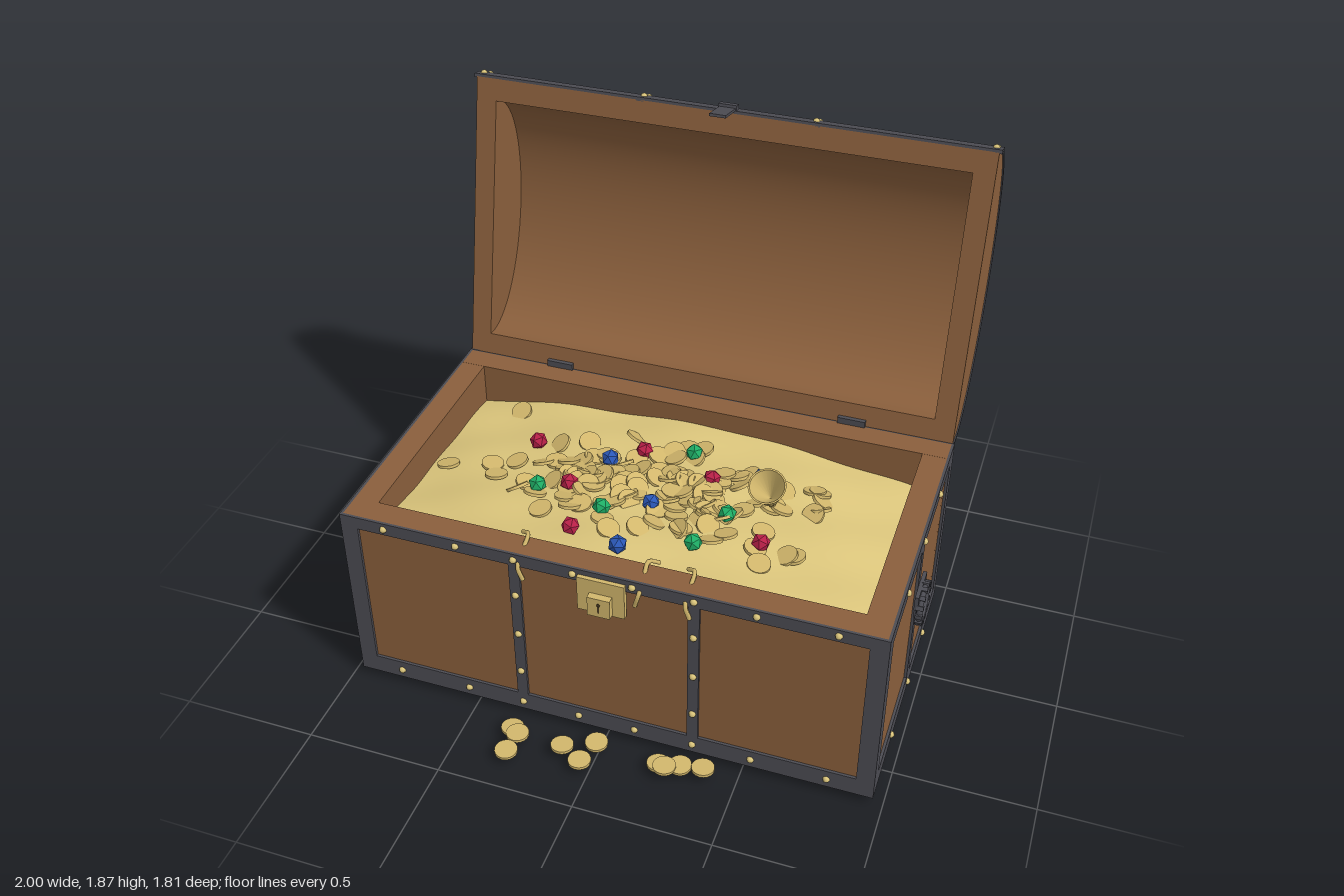
import * as THREE from 'three';
import { toCreasedNormals } from 'three/addons/utils/BufferGeometryUtils.js';

const material = (name, color, extra = {}) => {
  const m = new THREE.MeshStandardMaterial({ color, ...extra });
  m.name = name;
  return m;
};

export function createModel() {
  const wood = material('wood', 0x8a5f3c);
  const footWood = material('foot wood', 0x9a5a34);
  const iron = material('iron', 0x4c4c53);
  const gold = material('gold', 0xdcc67c);
  const coinGold = material('coin gold', 0xd2b76c, { side: THREE.DoubleSide });
  const ruby = material('ruby', 0xb82048);
  const emerald = material('emerald', 0x1fae66);
  const sapphire = material('sapphire', 0x2b58b8);
  const dark = material('keyhole dark', 0x4a3c22);

  const root = new THREE.Group();
  root.name = 'treasureChest';

  const group = (name, parent = root) => {
    const g = new THREE.Group();
    g.name = name;
    parent.add(g);
    return g;
  };
  const add = (parent, name, geo, mat, x = 0, y = 0, z = 0) => {
    const m = new THREE.Mesh(geo, mat);
    m.name = name;
    m.position.set(x, y, z);
    parent.add(m);
    return m;
  };
  // box given by its lower and upper limits
  const box = (parent, name, mat, x0, x1, y0, y1, z0, z1) =>
    add(parent, name, new THREE.BoxGeometry(x1 - x0, y1 - y0, z1 - z0), mat,
      (x0 + x1) / 2, (y0 + y1) / 2, (z0 + z1) / 2);

  let seed = 11;
  const random = () => {
    seed = (seed * 16807) % 2147483647;
    return seed / 2147483647;
  };

  // Body: floor and four walls
  const X = 0.955, Y0 = 0.03, Y1 = 0.765, ZB = -0.415, ZF = 0.65, ZC = 0.118, T = 0.09;
  const body = group('body');
  box(body, 'floor', wood, -X, X, Y0, Y0 + 0.06, ZB, ZF);
  box(body, 'frontWall', wood, -X, X, Y0 + 0.06, Y1, ZF - T, ZF);
  box(body, 'backWall', wood, -X, X, Y0 + 0.06, Y1, ZB, ZB + T);
  for (const s of [-1, 1])
    add(body, 'sideWall', new THREE.BoxGeometry(T, Y1 - Y0 - 0.06, ZF - ZB - 2 * T), wood,
      s * (X - T / 2), (Y0 + 0.06 + Y1) / 2, ZC);

  // Feet
  const footGeo = new THREE.BoxGeometry(0.12, 0.03, 0.12);
  for (const x of [-0.87, 0.87]) for (const z of [-0.33, 0.57])
    add(body, 'foot', footGeo, footWood, x, 0.015, z);

  // Iron straps with rivets on all four sides
  const E = 0.01, straps = group('straps'), rivets = group('rivets');
  const rivetGeo = new THREE.SphereGeometry(0.013, 8, 6);
  const rivet = (x, y, z, parent = rivets) => add(parent, 'rivet', rivetGeo, gold, x, y, z);
  for (const [z0, z1, zr] of [[ZF, ZF + E, ZF + E], [ZB - E, ZB, ZB - E]]) {
    box(straps, 'bottomStrap', iron, -X - E, X + E, Y0, 0.105, z0, z1);
    box(straps, 'topStrap', iron, -X - E, X + E, 0.715, Y1, z0, z1);
    for (const s of [-1, 1]) {
      box(straps, 'cornerStrap', iron, s * 0.933 - 0.032, s * 0.933 + 0.032, 0.105, 0.715, z0, z1);
      box(straps, 'middleStrap', iron, s * 0.318 - 0.02, s * 0.318 + 0.02, 0.105, 0.715, z0, z1);
      for (const x of [0.105, 0.318, 0.53, 0.8])
        for (const y of [0.067, 0.74]) rivet(s * x, y, zr);
      for (const y of [0.22, 0.4, 0.58]) rivet(s * 0.318, y, zr);
    }
  }
  for (const s of [-1, 1]) {
    const x0 = s > 0 ? X : -X - E, x1 = x0 + E;
    box(straps, 'bottomStrap', iron, x0, x1, Y0, 0.105, ZB, ZF);
    box(straps, 'topStrap', iron, x0, x1, 0.71, Y1, ZB, ZF);
    box(straps, 'cornerStrap', iron, x0, x1, 0.105, 0.71, 0.6, ZF);
    box(straps, 'cornerStrap', iron, x0, x1, 0.105, 0.71, ZB, -0.36);
    box(straps, 'middleStrap', iron, x0, x1, 0.105, 0.71, ZC - 0.022, ZC + 0.022);
    for (const z of [-0.15, ZC, 0.39])
      for (const y of [0.067, 0.738]) rivet(s * (X + E), y, z);

    // Ring handle
    const handle = group('handle');
    handle.position.set(s * (X + E), 0.462, ZC);
    add(handle, 'handlePlate', new THREE.BoxGeometry(0.014, 0.06, 0.145), iron, s * 0.007, 0.05, 0);
    const disc = add(handle, 'handleDisc', new THREE.CylinderGeometry(0.058, 0.058, 0.008, 24), iron, s * 0.004);
    disc.rotation.z = Math.PI / 2;
    const ring = add(handle, 'handleRing', new THREE.TorusGeometry(0.067, 0.011, 8, 28), iron, s * 0.02);
    ring.rotation.y = Math.PI / 2;
    for (let i = 0; i < 14; i++) {
      const a = (i / 14) * Math.PI * 2;
      add(handle, 'ringKnob', new THREE.BoxGeometry(0.026, 0.016, 0.016), iron,
        s * 0.021, Math.sin(a) * 0.074, Math.cos(a) * 0.074).rotation.x = -a;
    }
  }

  // Hinges
  for (const x of [-0.58, 0.58]) {
    const h = group('hinge');
    box(h, 'hingeLeaf', iron, x - 0.03, x + 0.03, 0.66, 0.765, ZB - 0.018, ZB - 0.008);
    box(h, 'hingeKnuckle', iron, x - 0.052, x + 0.052, 0.76, 0.79, ZB - 0.015, ZB + 0.006);
  }

  // Lid, built closed and swung open about the hinge line
  const lid = group('lid');
  lid.position.set(0, 0.765, -0.42);
  lid.rotation.x = -1.783;
  const L = 1.085, A = L / 2, B = 0.338;
  const halfArc = (a, b, reverse) => Array.from({ length: 33 }, (_, i) => {
    const t = ((reverse ? 32 - i : i) / 32) * Math.PI;
    return new THREE.Vector2(A + Math.cos(t) * a, Math.sin(t) * b);
  });
  const slab = (points, width) => {
    const g = new THREE.ExtrudeGeometry(new THREE.Shape(points), { depth: width, bevelEnabled: false });
    g.translate(0, 0, -width / 2).rotateY(-Math.PI / 2);
    return toCreasedNormals(g, 0.5);
  };
  const arch = (a, b, a2, b2, w) => slab([...halfArc(a, b), ...halfArc(a2, b2, true)], w);
  add(lid, 'lidVault', arch(A, B, A - 0.082, B - 0.075, 1.76), wood);
  const capGeo = slab(halfArc(A, B), 0.078), bandGeo = arch(A + 0.008, B + 0.009, A - 0.004, B - 0.004, 0.04);
  for (const s of [-1, 1]) add(lid, 'lidEnd', capGeo, wood, s * 0.919);
  for (const x of [-0.943, -0.318, 0.318, 0.943]) {
    add(lid, 'lidBand', bandGeo, iron, x);
    for (let i = 0; i < 19; i++) {
      const t = ((i + 0.5) / 19) * Math.PI;
      rivet(x, Math.sin(t) * (B + 0.012), A + Math.cos(t) * (A + 0.01), lid);
    }
  }
  box(lid, 'lidEdgeStrap', iron, -0.968, 0.968, 0, 0.045, L - 0.004, L + 0.01);
  box(lid, 'haspKnuckle', iron, -0.034, 0.034, 0.005, 0.035, L + 0.008, L + 0.028);
  box(lid, 'hasp', iron, -0.03, 0.03, -0.115, 0.03, L + 0.008, L + 0.018);

  // Lock
  const lock = group('lock');
  box(lock, 'lockPlate', coinGold, -0.085, 0.083, 0.605, 0.745, 0.655, 0.675);
  box(lock, 'lockCase', coinGold, -0.04, 0.04, 0.612, 0.69, 0.675, 0.7);
  box(lock, 'keySlot', dark, -0.003, 0.003, 0.63, 0.66, 0.7, 0.702);
  add(lock, 'keyHole', new THREE.CylinderGeometry(0.007, 0.007, 0.003, 12), dark, 0, 0.664, 0.7).rotation.x = Math.PI / 2;

  // Gold heap: a grid lifted by a height rule
  const heapY = (x, z) => 0.6 + 0.09 * (1 - (x / 0.87) ** 2) + 0.06 * (z + 0.33) / 0.89
    + 0.008 * Math.sin(x * 11 + z * 5) * Math.cos(z * 13 - x * 3);
  const heapGeo = new THREE.PlaneGeometry(1.74, 0.9, 48, 26).rotateX(-Math.PI / 2).translate(0, 0, ZC);
  const p = heapGeo.attributes.position;
  for (let i = 0; i < p.count; i++) p.setY(i, heapY(p.getX(i), p.getZ(i)));
  heapGeo.computeVertexNormals();
  add(root, 'goldHeap', heapGeo, gold);

  // Coins on the heap and on the ground
  const coins = group('coins');
  const coinGeo = toCreasedNormals(new THREE.CylinderGeometry(0.041, 0.041, 0.011, 18), 0.6);
  for (let i = 0; i < 130; i++) {
    const x = (random() + random() - 1) * 0.5 + (random() - 0.5) * 0.66;
    const z = 0.12 + (random() + random() - 1) * 0.28 + (random() - 0.5) * 0.26;
    const c = add(coins, 'coin', coinGeo, coinGold, x, heapY(x, z) + 0.01, z);
    c.rotation.set((random() - 0.5) * 1.1, 0, (random() - 0.5) * 1.1);
  }
  const spilled = [[-0.32, 0.76], [-0.29, 0.785], [-0.3, 0.865], [-0.12, 0.785], [-0.04, 0.825],
    [-0.01, 0.735], [0.225, 0.75], [0.25, 0.76], [0.3, 0.735], [0.38, 0.725]];
  spilled.forEach(([x, z], i) => {
    add(coins, 'spilledCoin', coinGeo, coinGold, x, 0.032 + (i % 2) * 0.006, z).rotation.x = (i % 3 - 1) * 0.06;
  });

  // Gems
  const gems = group('gems');
  const gemGeo = new THREE.IcosahedronGeometry(0.034, 0);
  const sets = [
    ['ruby', ruby, [[-0.51, -0.02], [-0.11, -0.07], [0.18, 0.03], [-0.29, 0.22], [-0.19, 0.46], [0.44, 0.3]]],
    ['emerald', emerald, [[0.07, -0.11], [-0.4, 0.25], [0.29, 0.2], [-0.13, 0.32], [0.23, 0.4]]],
    ['sapphire', sapphire, [[-0.21, 0.02], [0.34, -0.06], [0.02, 0.23], [0, 0.51]]],
  ];
  for (const [name, mat, spots] of sets) for (const [x, z] of spots)
    add(gems, name, gemGeo, mat, x, heapY(x, z) + 0.025, z).rotation.set(random() * 3, random() * 3, 0);

  // Goblet leaning out of the heap
  const profile = [[0.045, 0], [0.045, 0.01], [0.012, 0.02], [0.012, 0.08], [0.025, 0.09], [0.067, 0.215], [0.061, 0.215], [0, 0.1]]
    .map(([r, y]) => new THREE.Vector2(r, y));
  const goblet = add(root, 'goblet', toCreasedNormals(new THREE.LatheGeometry(profile, 20), 0.6), coinGold, 0.415, 0.675, 0.045);
  goblet.rotation.x = 0.53;

  // Chains spilling over the front edge
  for (const [x, d] of [[-0.3, 0.03], [0.13, -0.03], [0.29, 0.03]]) {
    const path = new THREE.CatmullRomCurve3([[x - d, 0.765, 0.54], [x, 0.782, 0.565], [x, 0.755, 0.61],
      [x, 0.72, 0.664], [x + d / 2, 0.665, 0.664]].map(v => new THREE.Vector3(...v)));
    add(root, 'chain', new THREE.TubeGeometry(path, 20, 0.008, 6), coinGold);
  }
  return root;
}
